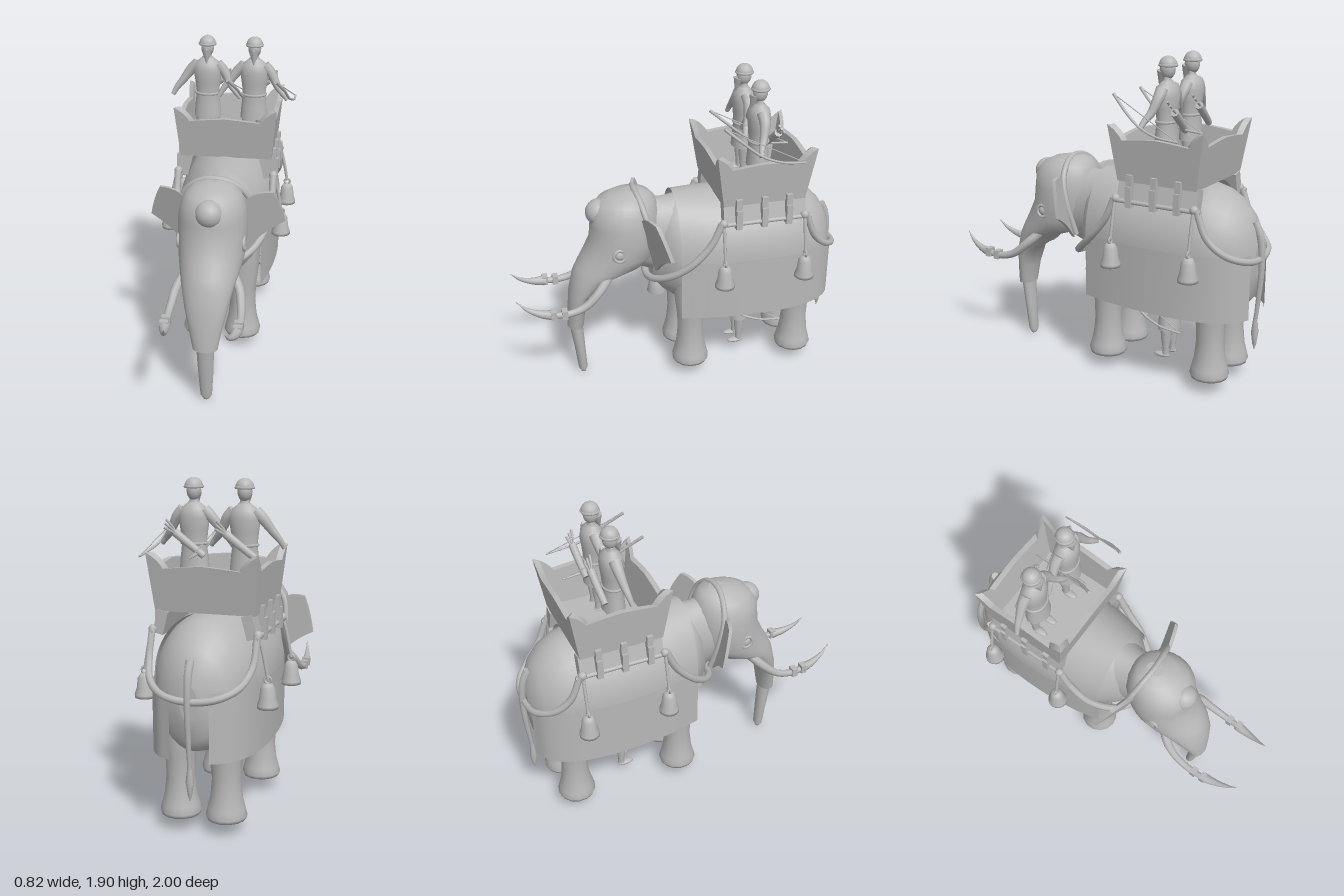
import * as THREE from 'three';

const stone = new THREE.MeshStandardMaterial({ color: 0xb8b8b8, side: THREE.DoubleSide });
stone.name = 'stone grey';

const V = (x, y, z) => new THREE.Vector3(x, y, z);

function add(parent, name, geo, x = 0, y = 0, z = 0) {
  const m = new THREE.Mesh(geo, stone);
  m.name = name;
  m.position.set(x, y, z);
  parent.add(m);
  return m;
}

// Skin between rings of points, closed at both ends
function loft(rings) {
  const n = rings[0].length, pos = [], idx = [];
  rings.forEach(r => r.forEach(p => pos.push(p.x, p.y, p.z)));
  for (let i = 0; i < rings.length - 1; i++) for (let j = 0; j < n; j++) {
    const a = i * n + j, b = i * n + (j + 1) % n;
    idx.push(a, a + n, b + n, a, b + n, b);
  }
  [rings[0], rings[rings.length - 1]].forEach((r, e) => {
    const c = pos.length / 3;
    const mid = r.reduce((s, p) => s.add(p), V(0, 0, 0)).divideScalar(n);
    pos.push(mid.x, mid.y, mid.z);
    r.forEach(p => pos.push(p.x, p.y, p.z));
    for (let j = 0; j < n; j++) {
      const a = c + 1 + j, b = c + 1 + (j + 1) % n;
      e ? idx.push(c, b, a) : idx.push(c, a, b);
    }
  });
  const g = new THREE.BufferGeometry();
  g.setAttribute('position', new THREE.Float32BufferAttribute(pos, 3));
  g.setIndex(idx);
  g.computeVertexNormals();
  return g;
}
const angles = Array.from({ length: 28 }, (_, i) => i / 28 * Math.PI * 2);
// Rows: z, top, bottom, half width
const loftZ = rows => loft(rows.map(([z, t, b, r]) =>
  angles.map(a => V(r * Math.cos(a), (t + b) / 2 + (t - b) / 2 * Math.sin(a), z))));
// Rows: y, front, back, half width
const loftY = rows => loft(rows.map(([y, f, b, r]) =>
  angles.map(a => V(r * Math.cos(a), y, (f + b) / 2 - (f - b) / 2 * Math.sin(a)))));

// Tube along points, its radius changing from r0 to r1
function taper(pts, r0, r1 = r0, seg = 24, sides = 8) {
  const curve = new THREE.CatmullRomCurve3(pts.map(p => V(...p)));
  const f = curve.computeFrenetFrames(seg);
  const rings = [];
  for (let i = 0; i <= seg; i++) {
    const c = curve.getPointAt(i / seg), r = r0 + (r1 - r0) * i / seg;
    rings.push(Array.from({ length: sides }, (_, j) => {
      const a = j / sides * Math.PI * 2;
      return c.clone().addScaledVector(f.normals[i], r * Math.cos(a)).addScaledVector(f.binormals[i], r * Math.sin(a));
    }));
  }
  return loft(rings);
}
const lathe = (pts, seg = 20) => new THREE.LatheGeometry(pts.map(p => new THREE.Vector2(...p)), seg);

// Open sheet from rows of points
function sheet(rows) {
  const n = rows[0].length, idx = [];
  for (let i = 0; i < rows.length - 1; i++) for (let j = 0; j < n - 1; j++) {
    const a = i * n + j;
    idx.push(a, a + n, a + n + 1, a, a + n + 1, a + 1);
  }
  const g = new THREE.BufferGeometry().setFromPoints(rows.flat());
  g.setIndex(idx);
  g.computeVertexNormals();
  return g;
}

// Archer standing on y = 0
function archer() {
  const g = new THREE.Group();
  g.name = 'archer';
  add(g, 'robe', lathe([[0.085, 0.18], [0.078, 0.26], [0.07, 0.33], [0.078, 0.4], [0.088, 0.47], [0.075, 0.52], [0.04, 0.548], [0.026, 0.56], [0.026, 0.6]])).scale.z = 0.76;
  add(g, 'belt', new THREE.TorusGeometry(0.073, 0.008, 6, 20).rotateX(Math.PI / 2), 0, 0.33).scale.z = 0.78;
  add(g, 'head', new THREE.SphereGeometry(0.044, 16, 12), 0, 0.615, 0).scale.set(0.9, 1.25, 1);
  add(g, 'cap', new THREE.SphereGeometry(0.051, 16, 8, 0, Math.PI * 2, 0, Math.PI / 2), 0, 0.637, -0.002);
  add(g, 'capRim', new THREE.TorusGeometry(0.048, 0.008, 6, 18).rotateX(Math.PI / 2), 0, 0.637, -0.002);
  add(g, 'nose', new THREE.ConeGeometry(0.01, 0.03, 6), 0, 0.615, 0.046);
  add(g, 'beard', new THREE.ConeGeometry(0.033, 0.085, 10).rotateX(Math.PI - 0.25), 0, 0.56, 0.042);
  add(g, 'rightArm', taper([[-0.06, 0.51, 0], [-0.1, 0.475, 0], [-0.15, 0.41, 0.01], [-0.19, 0.36, 0.02], [-0.215, 0.315, 0.03]], 0.037, 0.013));
  add(g, 'leftArm', taper([[0.06, 0.51, 0], [0.1, 0.47, 0], [0.145, 0.39, 0.02], [0.18, 0.35, 0.04], [0.21, 0.315, 0.05]], 0.037, 0.014));
  add(g, 'bow', taper([[0.155, 0.48, 0.25], [0.2, 0.4, 0.15], [0.222, 0.325, 0.05], [0.245, 0.285, -0.07], [0.245, 0.27, -0.2]], 0.009, 0.006));
  add(g, 'bowString', taper([[0.155, 0.48, 0.25], [0.2, 0.375, 0.025], [0.245, 0.27, -0.2]], 0.003, 0.003, 4, 5));
  add(g, 'quiver', taper([[-0.08, 0.27, -0.075], [0.01, 0.34, -0.085], [0.08, 0.395, -0.09]], 0.02, 0.024));
  for (let i = -1; i <= 1; i++)
    add(g, 'arrow', taper([[0.06, 0.38, -0.09], [0.1, 0.415 + i * 0.012, -0.09 + i * 0.012], [0.135, 0.44 + i * 0.02, -0.09 + i * 0.015]], 0.004, 0.008, 4, 5));
  for (const s of [-1, 1]) {
    add(g, 'leg', lathe([[0.022, 0.02], [0.02, 0.06], [0.031, 0.13], [0.036, 0.24]], 10), s * 0.042, 0, 0);
    add(g, 'foot', new THREE.SphereGeometry(0.03, 10, 8), s * 0.045, 0.014, 0.025).scale.set(0.8, 0.5, 1.8);
  }
  return g;
}

export function createModel() {
  const root = new THREE.Group();
  root.name = 'warElephant';

  // Body, neck, head and trunk
  add(root, 'body', loftZ([[0.16, 0.98, 0.64, 0.09], [0.1, 1.12, 0.56, 0.16], [0.02, 1.17, 0.5, 0.235], [-0.15, 1.185, 0.48, 0.275],
    [-0.4, 1.19, 0.47, 0.298], [-0.65, 1.195, 0.47, 0.288], [-0.75, 1.17, 0.47, 0.27], [-0.83, 1.125, 0.48, 0.24],
    [-0.9, 1.055, 0.5, 0.19], [-0.945, 0.97, 0.56, 0.125], [-0.965, 0.87, 0.68, 0.05]]));
  add(root, 'neck', loftZ([[0.3, 1.2, 0.76, 0.15], [0.2, 1.19, 0.72, 0.145], [0.1, 1.17, 0.68, 0.14], [-0.03, 1.18, 0.6, 0.19]]));
  add(root, 'head', loftY([[1.245, 0.31, 0.21, 0.04], [1.225, 0.4, 0.16, 0.11], [1.19, 0.47, 0.13, 0.155], [1.13, 0.515, 0.11, 0.185], [1.05, 0.52, 0.1, 0.2],
    [0.95, 0.53, 0.11, 0.2], [0.85, 0.58, 0.13, 0.193], [0.78, 0.62, 0.2, 0.178], [0.72, 0.645, 0.38, 0.155],
    [0.6, 0.67, 0.54, 0.122], [0.48, 0.682, 0.575, 0.095], [0.36, 0.69, 0.59, 0.072]]));
  add(root, 'trunk', loftY([[0.38, 0.68, 0.597, 0.052], [0.2, 0.655, 0.588, 0.045], [0.03, 0.635, 0.58, 0.034], [0, 0.62, 0.592, 0.017]]));
  add(root, 'foreheadBoss', new THREE.SphereGeometry(0.08, 20, 14), 0, 1.12, 0.465);
  add(root, 'headband', taper([[-0.18, 0.8, 0.14], [-0.212, 0.98, 0.18], [-0.19, 1.13, 0.22], [-0.1, 1.222, 0.245], [0, 1.245, 0.255],
    [0.1, 1.222, 0.245], [0.19, 1.13, 0.22], [0.212, 0.98, 0.18], [0.18, 0.8, 0.14]], 0.018, 0.018, 48));

  // Tail with tuft
  add(root, 'tail', taper([[0, 1.0, -0.935], [0, 0.92, -0.97], [0, 0.75, -0.985], [0, 0.42, -0.962]], 0.024, 0.012));
  add(root, 'tailTuft', lathe([[0, 0.24], [0.012, 0.28], [0.022, 0.35], [0.01, 0.45]], 10), 0, 0, -0.96);

  // Draped cloth: arch over the back and a curtain round each side
  const plan = new THREE.CatmullRomCurve3([V(0.25, 0, 0.025), V(0.288, 0, -0.15), V(0.312, 0, -0.42), V(0.3, 0, -0.67),
    V(0.255, 0, -0.83), V(0.19, 0, -0.92), V(0.11, 0, -0.965)]).getPoints(36);
  const arch = plan.filter(p => p.z > -0.72).map(p => {
    const row = [];
    for (let i = 0; i <= 28; i++) {
      const a = i / 28 * Math.PI;
      row.push(V(p.x * Math.cos(a), 0.83 + 0.375 * Math.sin(a), p.z));
    }
    return row;
  });
  add(root, 'backCloth', sheet(arch));

  for (const s of [-1, 1]) {
    const curtain = plan.map(p => [0.46, 0.6, 0.72, 0.84].map(y => V(s * p.x, y, p.z)));
    add(root, 'sideCloth', sheet(s > 0 ? curtain : curtain.reverse()));

    // Legs
    const profile = [[0, 0.08], [0.108, 0.08], [0.115, 0.1], [0.105, 0.14], [0.09, 0.2], [0.08, 0.3], [0.085, 0.42], [0.1, 0.54], [0.105, 0.7]];
    add(root, 'frontLeg', lathe(profile, 14), s * 0.132, 0, -0.06);
    add(root, 'rearLeg', lathe(profile, 14), s * 0.132, 0, -0.745);

    // Ear: thin flap swept backwards
    const o = new THREE.Shape();
    o.moveTo(0.16, 1.1);
    o.quadraticCurveTo(0.21, 1.17, 0.33, 1.155);
    o.quadraticCurveTo(0.375, 1.07, 0.4, 0.95);
    o.quadraticCurveTo(0.3, 0.9, 0.25, 0.85);
    o.lineTo(0.18, 0.78);
    o.closePath();
    const ear = new THREE.ExtrudeGeometry(o, { depth: 0.022, bevelEnabled: false, curveSegments: 8 });
    const e = ear.attributes.position;
    for (let i = 0; i < e.count; i++) {
      const x = e.getX(i), y = e.getY(i);
      e.setZ(i, e.getZ(i) + 0.19 - 0.36 * (x - 0.2) + 0.22 * (y - 1));
    }
    ear.computeVertexNormals();
    add(root, 'ear', ear).scale.x = s;

    // Eye and tusk with cuff and blade
    add(root, 'eye', new THREE.SphereGeometry(0.028, 12, 10), s * 0.183, 0.91, 0.38).scale.x = 0.6;
    add(root, 'eyelid', new THREE.TorusGeometry(0.037, 0.01, 8, 18).rotateY(Math.PI / 2), s * 0.187, 0.91, 0.38);
    add(root, 'tusk', taper([[s * 0.13, 0.75, 0.44], [s * 0.18, 0.68, 0.51], [s * 0.2, 0.605, 0.6], [s * 0.205, 0.575, 0.7], [s * 0.2, 0.58, 0.82]], 0.03, 0.018));
    for (const z of [0.725, 0.79])
      add(root, 'tuskCuff', new THREE.BoxGeometry(0.05, 0.055, 0.035), s * 0.203, 0.578 + (z - 0.725) * 0.1, z);
    add(root, 'tuskBlade', taper([[s * 0.2, 0.58, 0.79], [s * 0.19, 0.59, 0.86], [s * 0.175, 0.625, 0.94], [s * 0.16, 0.68, 1.0]], 0.032, 0.001)).scale.x = 1;

    // Saddle pad, its brackets and rail
    add(root, 'saddlePad', new THREE.BoxGeometry(0.06, 0.13, 0.5), s * 0.25, 1.14, -0.465).rotation.z = s * 0.25;
    for (const z of [-0.3, -0.455, -0.605]) {
      add(root, 'padBracket', new THREE.BoxGeometry(0.045, 0.08, 0.036), s * 0.282, 1.205, z);
      add(root, 'padBracketFoot', new THREE.BoxGeometry(0.045, 0.12, 0.036), s * 0.295, 1.12, z);
    }
    add(root, 'rail', new THREE.CylinderGeometry(0.013, 0.013, 0.56, 8).rotateX(Math.PI / 2), s * 0.295, 1.09, -0.465);

    // Hanging bells
    for (const z of [-0.21, -0.705]) {
      add(root, 'knot', new THREE.SphereGeometry(0.026, 10, 8), s * 0.295, 1.1, z);
      add(root, 'bellRope', taper([[s * 0.3, 1.1, z], [s * 0.325, 1.0, z], [s * 0.35, 0.87, z]], 0.011, 0.009, 8));
      add(root, 'bellLoop', new THREE.TorusGeometry(0.018, 0.007, 6, 12), s * 0.35, 0.865, z);
      add(root, 'bell', lathe([[0.05, 0.725], [0.058, 0.712], [0.058, 0.73], [0.046, 0.765], [0.04, 0.82], [0.025, 0.845], [0, 0.85]], 16), s * 0.35, 0, z);
      add(root, 'clapper', new THREE.SphereGeometry(0.018, 8, 6), s * 0.35, 0.722, z);
    }
  }

  // Harness straps round chest and rump
  const mirrored = half => [...half.map(([x, y, z]) => [-x, y, z]), ...half.slice(0, -1).reverse()];
  add(root, 'chestStrap', taper(mirrored([[0.295, 1.1, -0.2], [0.295, 0.97, -0.14], [0.275, 0.83, -0.02], [0.2, 0.73, 0.1], [0.1, 0.68, 0.17], [0, 0.665, 0.19]]), 0.022, 0.022, 64));
  add(root, 'rumpStrap', taper(mirrored([[0.295, 1.1, -0.72], [0.29, 0.95, -0.78], [0.25, 0.86, -0.87], [0.15, 0.81, -0.955], [0, 0.79, -0.975]]), 0.02, 0.02, 64));
  add(root, 'chestBell', lathe([[0.05, 0.54], [0.062, 0.53], [0.05, 0.59], [0.035, 0.64], [0, 0.655]], 16), 0, 0, 0.12);

  // Howdah: four flared walls with peaked corners, and a floor
  const tower = new THREE.Group();
  tower.name = 'howdah';
  root.add(tower);
  const wall = (uB, uT, dB, dT) => {
    const sh = new THREE.Shape();
    sh.moveTo(-uB, 1.2);
    sh.lineTo(uB, 1.2);
    sh.lineTo(uT, 1.52);
    sh.quadraticCurveTo(uT * 0.8, 1.49, uT * 0.7, 1.435);
    sh.quadraticCurveTo(uT * 0.3, 1.45, 0, 1.455);
    sh.quadraticCurveTo(-uT * 0.3, 1.45, -uT * 0.7, 1.435);
    sh.quadraticCurveTo(-uT * 0.8, 1.49, -uT, 1.52);
    const g = new THREE.ExtrudeGeometry(sh, { depth: 0.03, bevelEnabled: false, curveSegments: 6 });
    const p = g.attributes.position;
    for (let i = 0; i < p.count; i++) {
      const d = p.getZ(i) - 0.03, t = (p.getY(i) - 1.2) / 0.32;
      p.setX(i, p.getX(i) * (1 + d * 3.2));
      p.setZ(i, dB + (dT - dB) * t + d);
    }
    g.computeVertexNormals();
    return g;
  };
  for (let k = 0; k < 4; k++) {
    const geo = k % 2 ? wall(0.247, 0.297, 0.28, 0.31) : wall(0.28, 0.31, 0.247, 0.297);
    add(tower, 'howdahWall', geo, 0, 0, -0.46).rotation.y = k * Math.PI / 2;
  }
  add(tower, 'howdahFloor', new THREE.BoxGeometry(0.54, 0.02, 0.48), 0, 1.212, -0.46);

  // Two archers aboard and one walking beneath
  for (const [x, y, z] of [[-0.145, 1.21, -0.45], [0.145, 1.21, -0.45], [0, 0.08, -0.41]]) {
    const a = archer();
    a.position.set(x, y, z);
    root.add(a);
  }
  return root;
}
